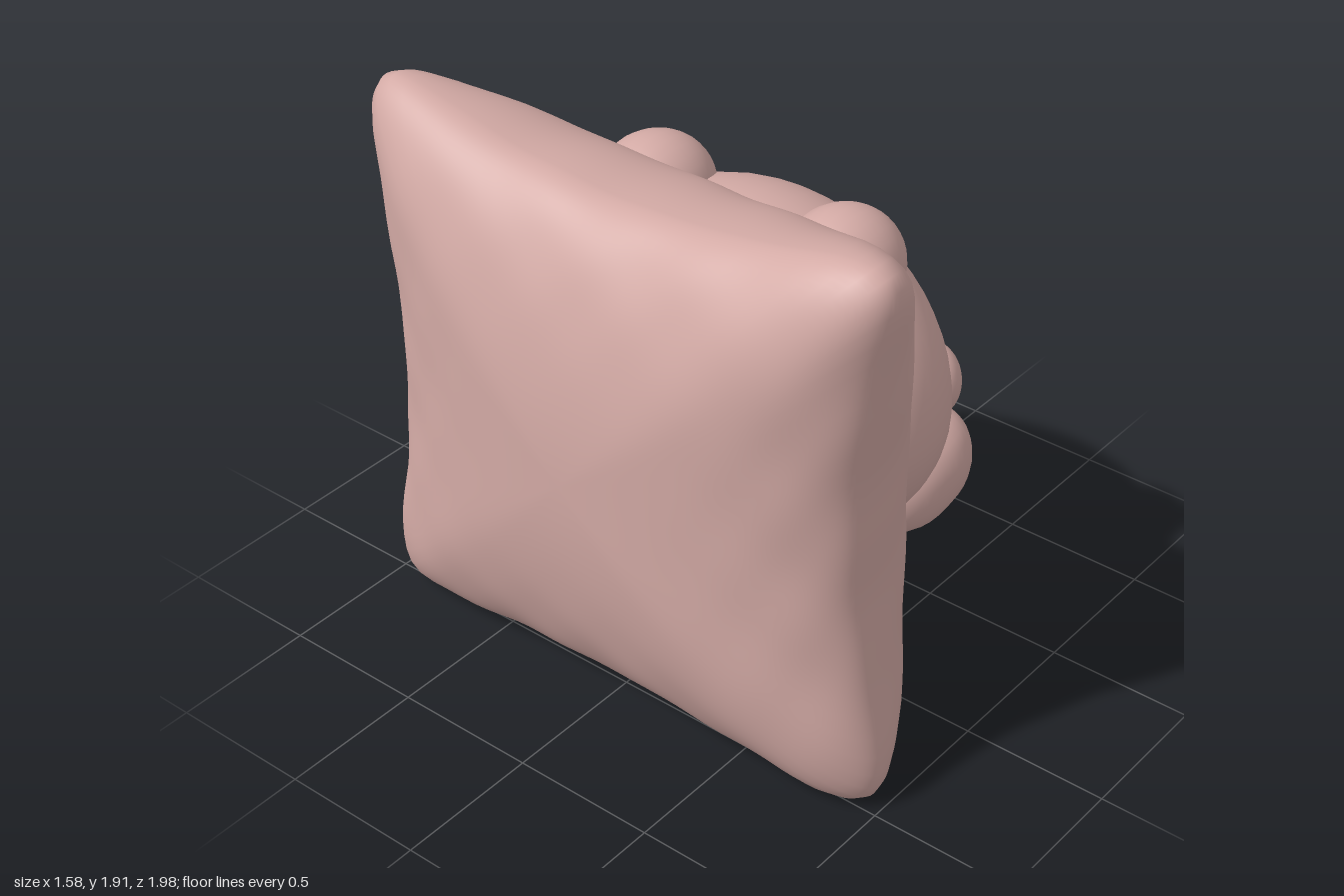
import * as THREE from 'three';
import { mergeVertices } from 'three/addons/utils/BufferGeometryUtils.js';

// Unit sphere with its poles on the x axis, reshaped by a rule, smooth and seamless
function shapedSphere(rule, w = 48, h = 32) {
  let geo = new THREE.SphereGeometry(1, w, h).rotateZ(-Math.PI / 2);
  const pos = geo.attributes.position;
  const p = new THREE.Vector3();
  for (let i = 0; i < pos.count; i++) {
    rule(p.fromBufferAttribute(pos, i));
    pos.setXYZ(i, p.x, p.y, p.z);
  }
  geo.deleteAttribute('uv');
  geo.deleteAttribute('normal');
  geo = mergeVertices(geo, 1e-5);
  geo.computeVertexNormals();
  return geo;
}

// Square cushion: full front, flatter back, pulled-out corners and faint wrinkles
function cushionRule(p) {
  const s = Math.hypot(p.y, p.z);
  const k = s > 1e-6 ? s * s / Math.pow(p.y ** 8 + p.z ** 8, 1 / 8) : 0;
  const v = s > 1e-6 ? p.y / s * k : 0;
  const u = s > 1e-6 ? p.z / s * k : 0;
  const wrinkle = 0.01 * s ** 4 * Math.sin(17 * u + 2 * v) * Math.cos(15 * v - 3 * u);
  // sqrt(1 - s^4) keeps the front plump up to the rim, thinner at the corners
  const front = 0.58 * p.x * Math.sqrt(1 + s * s) * (1 - 0.7 * u * u * v * v);
  const height = v > 0 ? 0.85 + 0.21 * u * u : 0.9 + 0.11 * u * u;
  const width = 0.895 + (v > 0 ? 0.165 : 0.19) * v * v;
  p.set(
    -0.46 + (p.x > 0 ? front : 0.33 * p.x) + wrinkle * p.x,
    0.95 + v * (height + wrinkle * 0.4),
    u * (width + wrinkle * 0.4)
  );
}

export function createModel() {
  const model = new THREE.Group();
  model.name = 'plushCushion';
  const pink = new THREE.MeshStandardMaterial({ color: 0xd3aaa5 });
  pink.name = 'dusty pink';
  const brown = new THREE.MeshStandardMaterial({ color: 0x46352f });
  brown.name = 'dark brown';

  const add = (name, geo, mat, pos = [0, 0, 0]) => {
    const mesh = new THREE.Mesh(geo, mat);
    mesh.name = name;
    mesh.position.set(...pos);
    model.add(mesh);
    return mesh;
  };

  add('cushion', shapedSphere(cushionRule, 128, 64), pink);

  // Body, fuller towards the bottom
  add('body', shapedSphere((p) => {
    p.set(p.x * 0.54, p.y * (p.y > 0 ? 0.66 : 0.53), p.z * 0.7);
  }), pink, [0.135, 0.88, 0]);

  // Rounded lump; a power above 2 makes it slightly boxy
  const lump = (a, b, c, power = 2) => shapedSphere((p) => {
    const n = Math.abs(p.x) ** power + Math.abs(p.y) ** power + Math.abs(p.z) ** power;
    p.multiplyScalar(Math.pow(n, -1 / power)).multiply(new THREE.Vector3(a, b, c));
  }, 28, 20);
  const ear = lump(0.215, 0.19, 0.19);
  const paw = lump(0.1, 0.13, 0.125);
  const foot = lump(0.255, 0.19, 0.21, 2.3);
  const eye = new THREE.IcosahedronGeometry(1, 1).scale(0.055, 0.075, 0.08);

  // Mirrored pairs
  for (const [side, s] of [['left', -1], ['right', 1]]) {
    add(side + 'Ear', ear, pink, [0.115, 1.44, s * 0.37]);
    add(side + 'Paw', paw, pink, [0.545, 0.825, s * 0.425]).rotation.y = -s * 0.6;
    add(side + 'Foot', foot, pink, [0.535, 0.45, s * 0.335]).rotation.z = 0.2;
    add(side + 'Eye', eye, brown, [0.65, 0.96, s * 0.24]).rotation.y = -s * 0.29;
  }

  // Smile
  const path = new THREE.CatmullRomCurve3(
    [[0.67, 0.915, 0.078], [0.685, 0.88, 0.055], [0.69, 0.872, 0],
      [0.685, 0.88, -0.055], [0.67, 0.915, -0.078]].map((a) => new THREE.Vector3(...a))
  );
  add('smile', new THREE.TubeGeometry(path, 10, 0.025, 6, false), brown);
  for (const s of [-1, 1]) {
    add('smileEnd', new THREE.IcosahedronGeometry(0.026, 1), brown, [0.67, 0.915, s * 0.078]);
  }
  return model;
}
